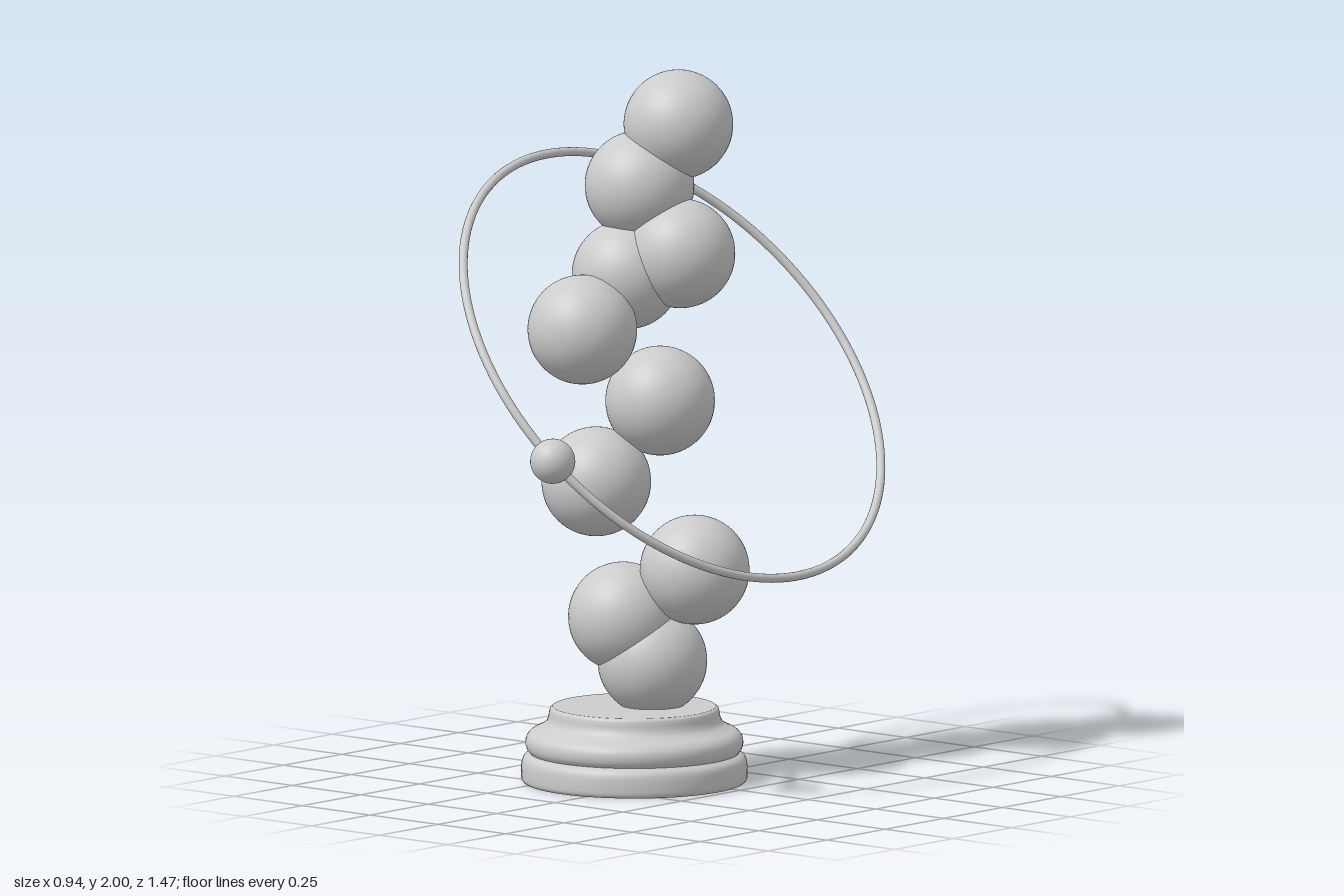
import * as THREE from 'three';

export function createModel() {
  const model = new THREE.Group();
  const grey = new THREE.MeshStandardMaterial({ color: 0xcccccc });

  function add(parent, name, geometry, x, y, z) {
    const mesh = new THREE.Mesh(geometry, grey);
    mesh.name = name;
    mesh.position.set(x, y, z);
    parent.add(mesh);
    return mesh;
  }

  // Turned pedestal: each run is a smooth curve, runs meet at sharp edges
  const pedestal = new THREE.Group();
  pedestal.name = 'pedestal';
  pedestal.position.set(-0.08, 0, 0.068);
  model.add(pedestal);
  const runs = [
    ['underside', [[0, 0.003], [0.308, 0.003]]],
    ['foot', [[0.308, 0.003], [0.315, 0.012], [0.316, 0.035], [0.314, 0.06], [0.307, 0.075], [0.292, 0.085]]],
    ['roundMoulding', [[0.292, 0.085], [0.301, 0.098], [0.304, 0.115], [0.3, 0.132], [0.287, 0.146],
      [0.265, 0.157], [0.249, 0.168], [0.241, 0.182], [0.238, 0.198]]],
    ['topRim', [[0.238, 0.198], [0.235, 0.209], [0.228, 0.215]]],
    ['topFace', [[0.228, 0.215], [0, 0.215]]],
  ];
  for (const [name, pts] of runs) {
    let profile = pts.map(([r, y]) => new THREE.Vector2(r, y));
    if (profile.length > 2) profile = new THREE.SplineCurve(profile).getPoints(pts.length * 4);
    add(pedestal, name, new THREE.LatheGeometry(profile, 64), 0, 0, 0);
  }

  // Winding stack of equal balls, bottom to top
  const stack = new THREE.Group();
  stack.name = 'ballStack';
  model.add(stack);
  const ball = new THREE.SphereGeometry(0.153, 48, 32);
  const centres = [
    [-0.055, 0.34, 0.02], [-0.123, 0.463, 0.067], [0.056, 0.602, -0.032],
    [-0.153, 0.851, 0.146], [-0.035, 1.075, 0.01], [-0.125, 1.294, 0.238],
    [-0.111, 1.43, 0.065], [0.02, 1.494, -0.013], [-0.104, 1.677, 0.018],
    [-0.03, 1.847, -0.062],
  ];
  centres.forEach((c, i) => add(stack, `ball${i + 1}`, ball, ...c));

  // Tilted hoop around the stack, with a bead threaded on it
  const tilt = THREE.MathUtils.degToRad(50);
  const R = 0.715;
  const hoop = new THREE.Group();
  hoop.name = 'hoop';
  hoop.position.set(0, 1.178, 0);
  hoop.rotation.z = -tilt;
  model.add(hoop);
  add(hoop, 'hoopRing', new THREE.TorusGeometry(R, 0.0125, 14, 128).rotateX(Math.PI / 2), 0, 0, 0);
  const a = 0.322;
  add(hoop, 'hoopBead', new THREE.SphereGeometry(0.063, 36, 24), R * Math.sin(a), 0, R * Math.cos(a));

  return model;
}
